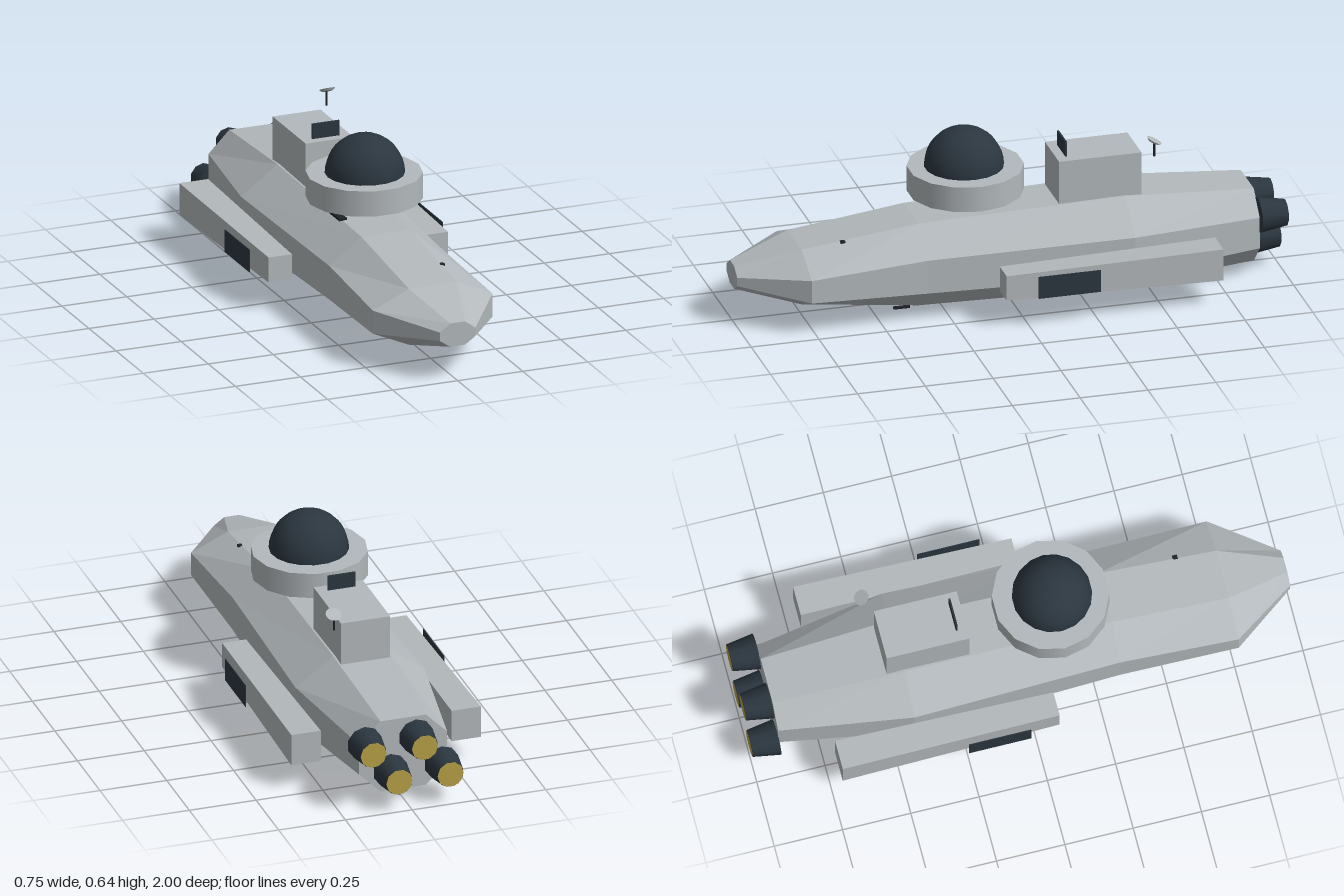
import * as THREE from 'three';

const paint = (name, color) => {
  const m = new THREE.MeshStandardMaterial({ color });
  m.name = name;
  return m;
};

// Solid skin through matching cross-sections, listed front to back,
// each counter-clockwise as seen from +z.
function loft(sections) {
  const pos = [];
  const put = (...pts) => pts.forEach(p => pos.push(...p));
  const n = sections[0].length;
  for (let s = 0; s + 1 < sections.length; s++) {
    const f = sections[s], b = sections[s + 1];
    for (let i = 0; i < n; i++) {
      const j = (i + 1) % n;
      put(f[i], b[i], b[j], f[i], b[j], f[j]);
    }
  }
  const first = sections[0], last = sections[sections.length - 1];
  for (let i = 1; i + 1 < n; i++) {
    put(first[0], first[i], first[i + 1]);
    put(last[0], last[i + 1], last[i]);
  }
  const g = new THREE.BufferGeometry();
  g.setAttribute('position', new THREE.Float32BufferAttribute(pos, 3));
  g.computeVertexNormals();
  return g;
}

// Eight-sided hull section
const octagon = (z, wide, flat, top, upper, lower, bottom) => [
  [wide, lower, z], [wide, upper, z], [flat, top, z], [-flat, top, z],
  [-wide, upper, z], [-wide, lower, z], [-flat, bottom, z], [flat, bottom, z],
];

const rectangle = (z, x0, x1, y0, y1) =>
  [[x0, y0, z], [x1, y0, z], [x1, y1, z], [x0, y1, z]];

export function createModel() {
  const grey = paint('hull grey', 0xb2b8bb);
  const dark = paint('dark glass', 0x2b363f);
  const gold = paint('engine gold', 0xb8a046);
  const black = paint('antenna black', 0x1c2226);

  const model = new THREE.Group();
  model.name = 'spaceship';
  const add = (name, geometry, material, x = 0, y = 0, z = 0) => {
    const mesh = new THREE.Mesh(geometry, material);
    mesh.name = name;
    mesh.position.set(x, y, z);
    model.add(mesh);
    return mesh;
  };
  const box = (name, w, h, d, material, x, y, z) =>
    add(name, new THREE.BoxGeometry(w, h, d), material, x, y, z);

  // Faceted hull
  add('hull', loft([
    octagon(1.0, 0.068, 0.028, 0.221, 0.192, 0.16, 0.133),
    octagon(0.77, 0.23, 0.092, 0.283, 0.22, 0.133, 0.072),
    octagon(0.34, 0.218, 0.095, 0.335, 0.242, 0.115, 0.018),
    octagon(-0.42, 0.241, 0.1, 0.352, 0.25, 0.104, 0.001),
    octagon(-0.9, 0.165, 0.085, 0.318, 0.238, 0.12, 0.04),
  ]), grey);

  // Floating ring platform with dome
  add('domeRing', new THREE.CylinderGeometry(0.209, 0.209, 0.095, 14), grey, 0, 0.4525, 0.14)
    .rotation.y = Math.PI / 2;
  add('dome', new THREE.SphereGeometry(0.143, 18, 9, 0, Math.PI * 2, 0, Math.PI / 2),
    dark, 0, 0.5, 0.145);

  // Tower and its upright screen
  box('tower', 0.184, 0.21, 0.304, grey, 0, 0.405, -0.332);
  box('towerScreen', 0.104, 0.058, 0.006, dark, 0, 0.538, -0.217);

  // Tilted dish on a thin mast
  box('dishMast', 0.006, 0.058, 0.006, black, 0.13, 0.537, -0.52);
  add('dish', new THREE.CylinderGeometry(0.029, 0.02, 0.008, 14), grey, 0.132, 0.567, -0.518)
    .rotation.x = -0.48;

  // Tapered side pods with windows standing off the outer face
  for (const side of [1, -1]) {
    const c = side * 0.3;
    add('sidePod', loft([
      rectangle(0.085, c - 0.045, c + 0.045, 0.111, 0.205),
      rectangle(-0.712, c - 0.055, c + 0.055, 0.098, 0.218),
    ]), grey);
    box('podWindow', 0.003, 0.084, 0.228, dark, side * 0.371, 0.158, -0.14);
  }

  // Four engines in a zigzag row
  [0.144, 0.048, -0.048, -0.144].forEach((x, i) => {
    const y = i % 2 ? 0.118 : 0.24;
    const bell = new THREE.CylinderGeometry(0.065, 0.049, 0.1, 10);
    add('engine', bell, dark, x, y, -0.949).rotation.x = Math.PI / 2;
    add('engineGlow', new THREE.CircleGeometry(0.049, 10), gold, x, y, -1)
      .rotation.y = Math.PI;
  });

  // Small hull fittings
  box('noseFitting', 0.016, 0.012, 0.018, black, 0.098, 0.296, 0.62);
  box('deckFitting', 0.03, 0.009, 0.09, black, -0.094, 0.342, 0.125);
  box('keelFitting', 0.012, 0.008, 0.06, black, 0.09, 0.016, 0.4);

  return model;
}
